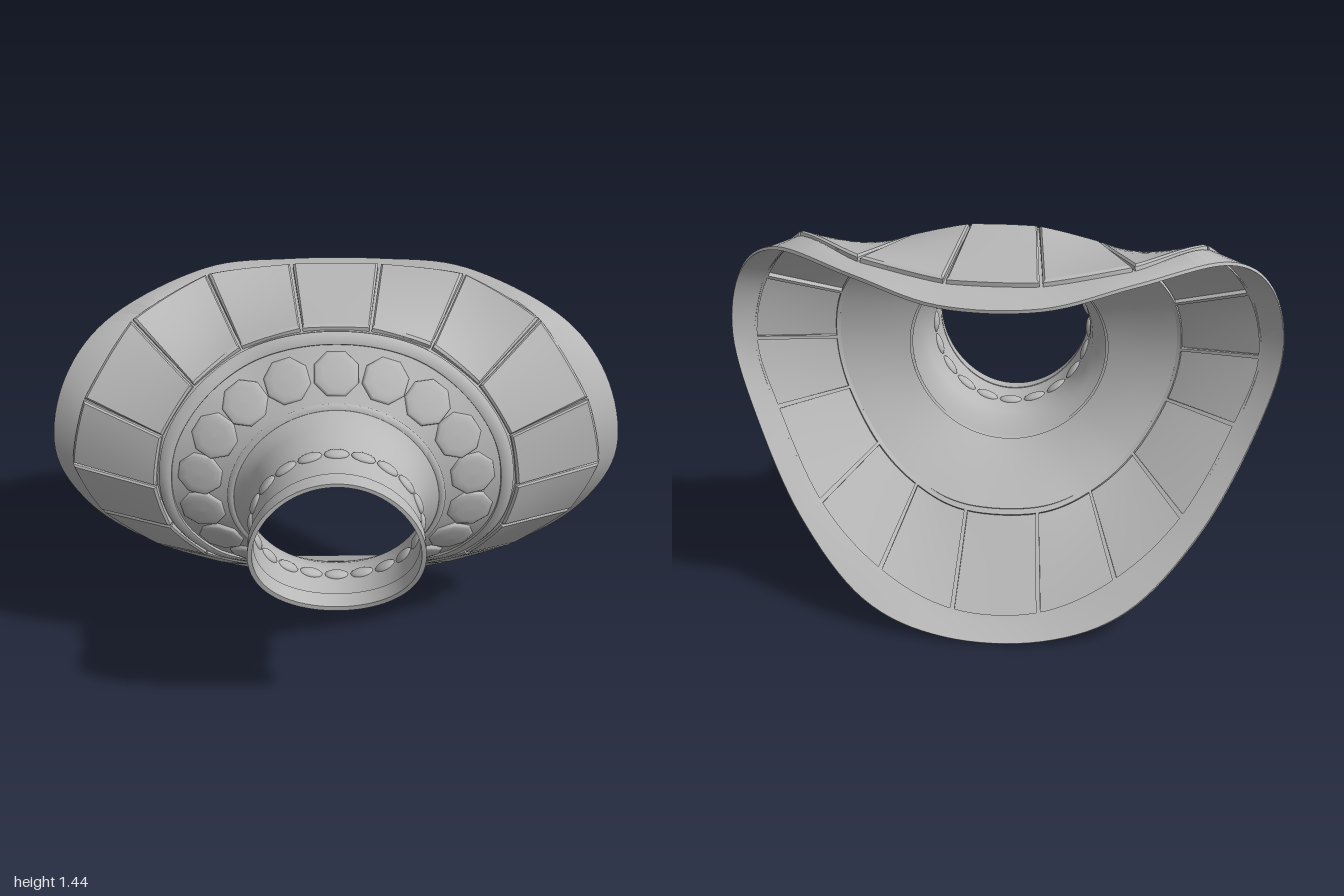
import * as THREE from 'three';
import { toCreasedNormals } from 'three/addons/utils/BufferGeometryUtils.js';

const TAU = Math.PI * 2, STEP = TAU / 18;
const metal = new THREE.MeshStandardMaterial({ color: 0xb8b8b8, side: THREE.DoubleSide });
metal.name = 'grey metal';

// Closed, mirrored ring through nine points; angle runs from the top towards +x
function keyRing(half) {
  const right = half.map(p => new THREE.Vector3(...p));
  const left = right.map(p => new THREE.Vector3(-p.x, p.y, p.z)).reverse();
  const curve = new THREE.CatmullRomCurve3([...right, ...left], true, 'catmullrom', 0.5);
  return a => curve.getPoint((((a - STEP / 2) / TAU) % 1 + 1) % 1);
}

// Elliptical ring whose depth changes from top to side to bottom
function ellipseRing(rx, ry, cy, zTop, zSide, zBottom) {
  return a => {
    const c = Math.cos(a);
    const z = zSide + (zTop - zBottom) / 2 * c + ((zTop + zBottom) / 2 - zSide) * c * c;
    return new THREE.Vector3(rx * Math.sin(a), cy + ry * c, z);
  };
}

// Ruled surface between two rings, with an offset along its normal
function surface(A, B) {
  const at = (a, f) => A(a).lerp(B(a), f);
  const normal = (a, f) => at(a + 0.02, f).sub(at(a - 0.02, f)).cross(B(a).sub(A(a))).normalize();
  const point = (a, f, off = 0) => at(a, f).addScaledVector(normal(a, f), off);
  return { normal, point };
}

// Grid geometry from a point function
function grid(nu, nv, fn) {
  const pos = [], idx = [];
  for (let j = 0; j <= nv; j++)
    for (let i = 0; i <= nu; i++) pos.push(...fn(i, j).toArray());
  for (let j = 0; j < nv; j++)
    for (let i = 0; i < nu; i++) {
      const k = j * (nu + 1) + i, m = k + nu + 1;
      idx.push(k, k + 1, m, k + 1, m + 1, m);
    }
  const g = new THREE.BufferGeometry();
  g.setAttribute('position', new THREE.Float32BufferAttribute(pos, 3));
  g.setIndex(idx);
  return toCreasedNormals(g, 0.6);
}

const loft = (rings, n = 144) => grid(n, rings.length - 1, (i, j) => rings[j]((i % n) / n * TAU));

// Embossed plate: bevelled front, side walls and a hollow back
function plate(place) {
  const n = 8, levels = [[0.025, 0], [0, -0.007], [0, -0.03]];
  const edge = (s, inset) => {
    const side = Math.floor(s / n) % 4, t = (s % n) / n;
    const [u, v] = [[t, 0], [1, t], [1 - t, 1], [0, 1 - t]][side];
    return [inset + u * (1 - 2 * inset), inset + v * (1 - 2 * inset)];
  };
  const face = (inset, off, flip) => grid(n, n, (i, j) => {
    const u = flip ? 1 - i / n : i / n;
    return place(inset + u * (1 - 2 * inset), inset + j / n * (1 - 2 * inset), off);
  });
  const wall = grid(4 * n, 2, (i, j) => place(...edge(i, levels[2 - j][0]), levels[2 - j][1]));
  return [face(0.025, 0, false), face(0, -0.012, true), wall];
}

export function createModel() {
  const model = new THREE.Group();
  const add = (name, geometry, parent = model) => {
    const mesh = new THREE.Mesh(geometry, metal);
    mesh.name = name;
    parent.add(mesh);
    return mesh;
  };
  const group = name => {
    const g = new THREE.Group();
    g.name = name;
    model.add(g);
    return g;
  };

  // Main rings of the flared cape
  const rim = keyRing([[0.17, 1.383, -0.548], [0.47, 1.42, -0.415], [0.78, 1.39, -0.14],
    [0.945, 1.23, 0.01], [1, 0.95, 0.055], [0.91, 0.65, -0.035], [0.73, 0.345, -0.22],
    [0.48, 0.11, -0.39], [0.18, 0.015, -0.465]]);
  const panelOuter = keyRing([[0.16, 1.43, -0.44], [0.46, 1.45, -0.33], [0.71, 1.42, -0.06],
    [0.88, 1.19, 0.1], [0.94, 0.92, 0.105], [0.86, 0.66, 0.03], [0.68, 0.36, -0.16],
    [0.44, 0.16, -0.3], [0.16, 0.045, -0.37]]);
  const panelInner = keyRing([[0.12, 1.435, 0.03], [0.33, 1.37, 0.05], [0.49, 1.26, 0.13],
    [0.6, 1.09, 0.19], [0.63, 0.89, 0.21], [0.59, 0.69, 0.175], [0.475, 0.5, 0.09],
    [0.32, 0.385, 0], [0.13, 0.33, -0.07]]);
  const cape = surface(panelInner, panelOuter);

  // Frame bands inside and outside the panels; the outer one carries the plain lip
  const FRONT = -0.022, BACK = -0.034;
  const under = (f, off) => a => cape.point(a, f, off);
  const rimBack = a => rim(a).addScaledVector(cape.normal(a, 1), -0.012);
  add('inner band', loft([under(0, FRONT), under(0.05, FRONT), under(0.05, BACK),
    under(0, BACK), under(0, FRONT)]));
  add('outer band and lip', loft([under(0.95, FRONT), under(1, FRONT), rim, rimBack,
    under(1, BACK), under(0.95, BACK), under(0.95, FRONT)]));

  // Eighteen embossed panels with ribs between them, slightly flattened between corners
  const panels = group('cape panels'), ribs = group('cape ribs');
  for (let k = 0; k < 18; k++) {
    const gap = 0.006, a0 = (k - 0.5) * STEP + gap, a1 = (k + 0.5) * STEP - gap;
    const place = (u, v, off) => {
      const a = a0 + (a1 - a0) * u, f = 0.02 + 0.97 * v;
      const flat = cape.point(a0, f).lerp(cape.point(a1, f), u);
      return cape.point(a, f).lerp(flat, 0.55).addScaledVector(cape.normal(a, f), off);
    };
    for (const g of plate(place)) add('panel', g, panels);
    const section = [[-1, FRONT], [1, FRONT], [1, BACK], [-1, BACK], [-1, FRONT]];
    add('rib', grid(4, 8, (i, j) => cape.point(a1 + gap + section[i][0] * gap * 1.6,
      0.02 + 0.96 * j / 8, section[i][1])), ribs);
  }

  // Medallion band around the neck
  const discInner = ellipseRing(0.37, 0.36, 0.86, 0.2, 0.23, 0.15);
  const disc = surface(discInner, under(0, FRONT));
  const onDisc = (f, off) => a => disc.point(a, f, off);
  const steps = [0, 0.25, 0.5, 0.75, 1];
  add('medallion band', loft([...steps.map(f => onDisc(f, 0)),
    ...steps.slice().reverse().map(f => onDisc(f, -0.012)), onDisc(0, 0)]));
  const moulding = (name, f0, f1, h) => {
    const b = (f1 - f0) * 0.25;
    add(name, loft([onDisc(f0, -0.006), onDisc(f0, h * 0.6), onDisc(f0 + b, h), onDisc(f1 - b, h),
      onDisc(f1, h * 0.6), onDisc(f1, -0.006), onDisc(f0, -0.006)]));
  };
  moulding('outer moulding', 0.82, 0.99, 0.014);
  moulding('inner moulding', -0.04, 0.05, 0.008);

  // Low eight-sided studs on the band
  const studs = group('studs');
  const dome = new THREE.LatheGeometry([[1, -0.4], [0.98, 0.3], [0.88, 0.65], [0.6, 0.9], [0, 1]]
    .map(p => new THREE.Vector2(...p)), 8);
  for (let k = 0; k < 18; k++) {
    const a = k * STEP, stud = add('stud', dome, studs);
    const normal = disc.normal(a, 0.44);
    const along = onDisc(0.44, 0)(a + 0.02).sub(onDisc(0.44, 0)(a - 0.02)).normalize();
    const basis = new THREE.Matrix4().makeBasis(along, normal, along.clone().cross(normal));
    stud.position.copy(disc.point(a, 0.44, 0));
    stud.quaternion.setFromRotationMatrix(basis);
    stud.rotateY(Math.PI / 8);
    stud.scale.set(0.084, 0.015, 0.084);
  }

  // Neck tube flaring into the band
  const neckMid = ellipseRing(0.293, 0.285, 0.868, 0.385, 0.39, 0.315);
  add('neck', loft([
    ellipseRing(0.285, 0.286, 0.863, 0.51, 0.51, 0.43), neckMid,
    ellipseRing(0.298, 0.294, 0.875, 0.32, 0.33, 0.27),
    ellipseRing(0.308, 0.306, 0.88, 0.27, 0.28, 0.235),
    ellipseRing(0.33, 0.325, 0.87, 0.235, 0.25, 0.19), discInner]));

  // Tilted collar at the front of the neck
  const lipOuter = ellipseRing(0.304, 0.3, 0.852, 0.555, 0.565, 0.48);
  const lipInner = ellipseRing(0.288, 0.284, 0.854, 0.555, 0.565, 0.48);
  const lipBack = ellipseRing(0.304, 0.298, 0.858, 0.5, 0.51, 0.42);
  const lipBackInner = ellipseRing(0.284, 0.282, 0.863, 0.5, 0.51, 0.42);
  add('collar', loft([lipInner, lipOuter, lipBack, lipBackInner, lipInner]));

  // Flat oval beads around the neck
  const beads = group('beads');
  const ball = new THREE.SphereGeometry(1, 14, 10);
  for (let k = 0; k < 20; k++) {
    const a = k / 20 * TAU, bead = add('bead', ball, beads);
    const along = neckMid(a + 0.02).sub(neckMid(a - 0.02)).normalize();
    const out = new THREE.Vector3(Math.sin(a), Math.cos(a), 0);
    const side = along.clone().cross(out).normalize();
    bead.position.copy(neckMid(a));
    bead.quaternion.setFromRotationMatrix(
      new THREE.Matrix4().makeBasis(along, side.clone().cross(along), side));
    bead.scale.set(0.043, 0.015, 0.024);
  }
  return model;
}
